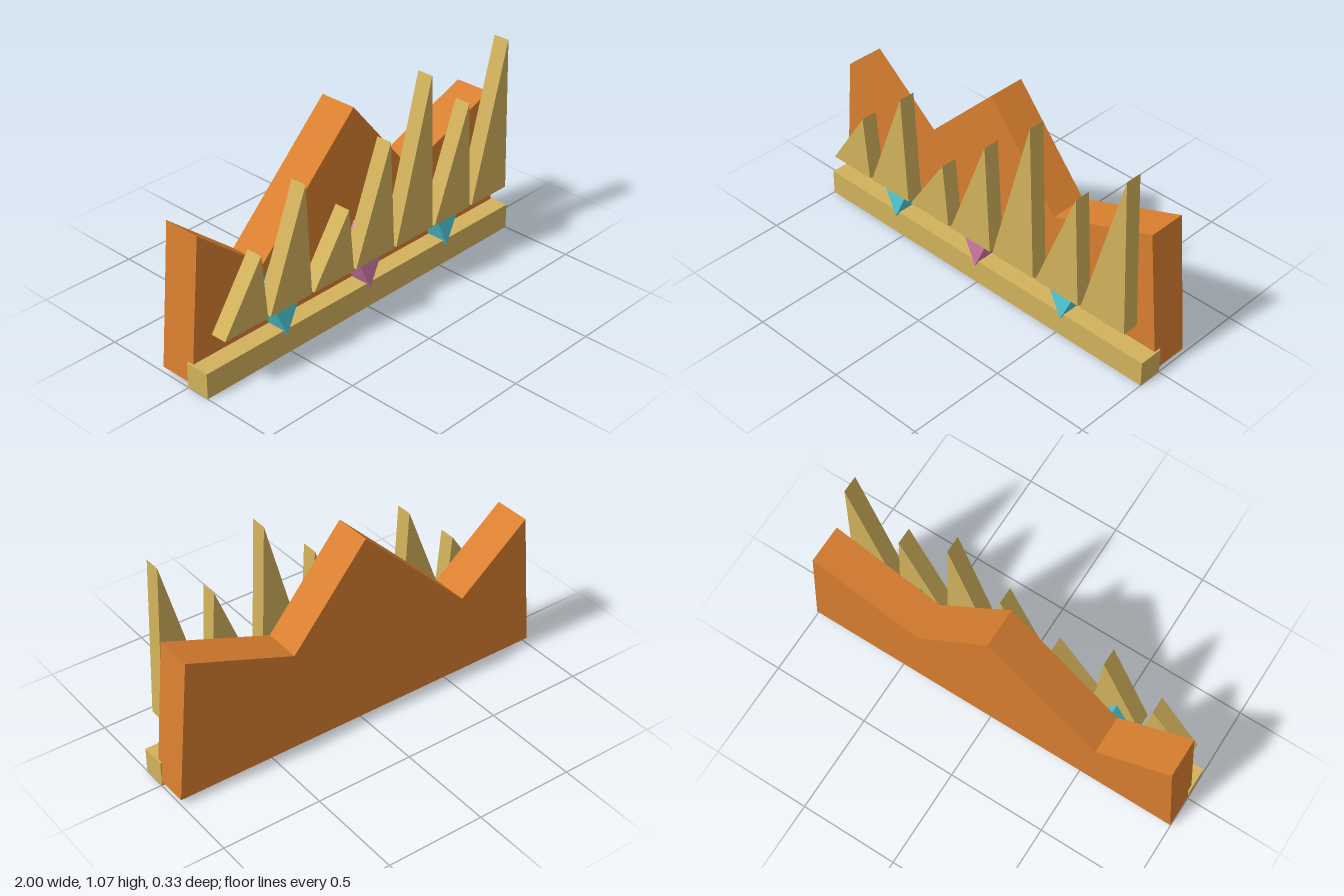
import * as THREE from 'three';

const material = (name, color) => {
  const m = new THREE.MeshStandardMaterial({ color });
  m.name = name;
  return m;
};

// Flat outline in x/y, extruded from zBack to zFront
function slab(name, points, zBack, zFront, mat) {
  const shape = new THREE.Shape(points.map(([x, y]) => new THREE.Vector2(x, y)));
  const geo = new THREE.ExtrudeGeometry(shape, { depth: zFront - zBack, bevelEnabled: false });
  geo.translate(0, 0, zBack);
  const mesh = new THREE.Mesh(geo, mat);
  mesh.name = name;
  return mesh;
}

export function createModel() {
  const group = new THREE.Group();
  group.name = 'spikedCrest';
  const orange = material('orange', 0xd97f30);
  const gold = material('gold', 0xd2b25c);
  const teal = material('teal', 0x52d0de);
  const pink = material('pink', 0xd47aaa);

  // Zigzag back panel with three peaks
  group.add(slab('backPanel', [
    [-1, 0.03], [1, 0.03], [0.935, 0.745], [0.385, 0.54],
    [0, 1], [-0.567, 0.446], [-0.935, 0.745],
  ], -0.164, 0.027, orange));

  // Base bar
  const bar = new THREE.Mesh(new THREE.BoxGeometry(2, 0.129, 0.125), gold);
  bar.position.set(0, 0.0645, 0.0595);
  bar.name = 'baseBar';
  group.add(bar);

  // Row of leaning spikes
  [0.605, 0.84, 0.605, 0.84, 1.072, 0.84, 1.072].forEach((top, i) => {
    const x = -0.8 + i * 0.2667;
    group.add(slab('spike' + (i + 1),
      [[x - 0.126, 0.278], [x + 0.126, 0.278], [x + 0.095, top]], 0.082, 0.165, gold));
  });

  // Diamond gems behind the spikes
  [-0.533, 0, 0.533].forEach((x, i) => {
    group.add(slab('gem' + (i + 1),
      [[x, 0.108], [x + 0.073, 0.267], [x, 0.427], [x - 0.073, 0.267]],
      0.02, 0.135, i === 1 ? pink : teal));
  });

  return group;
}
